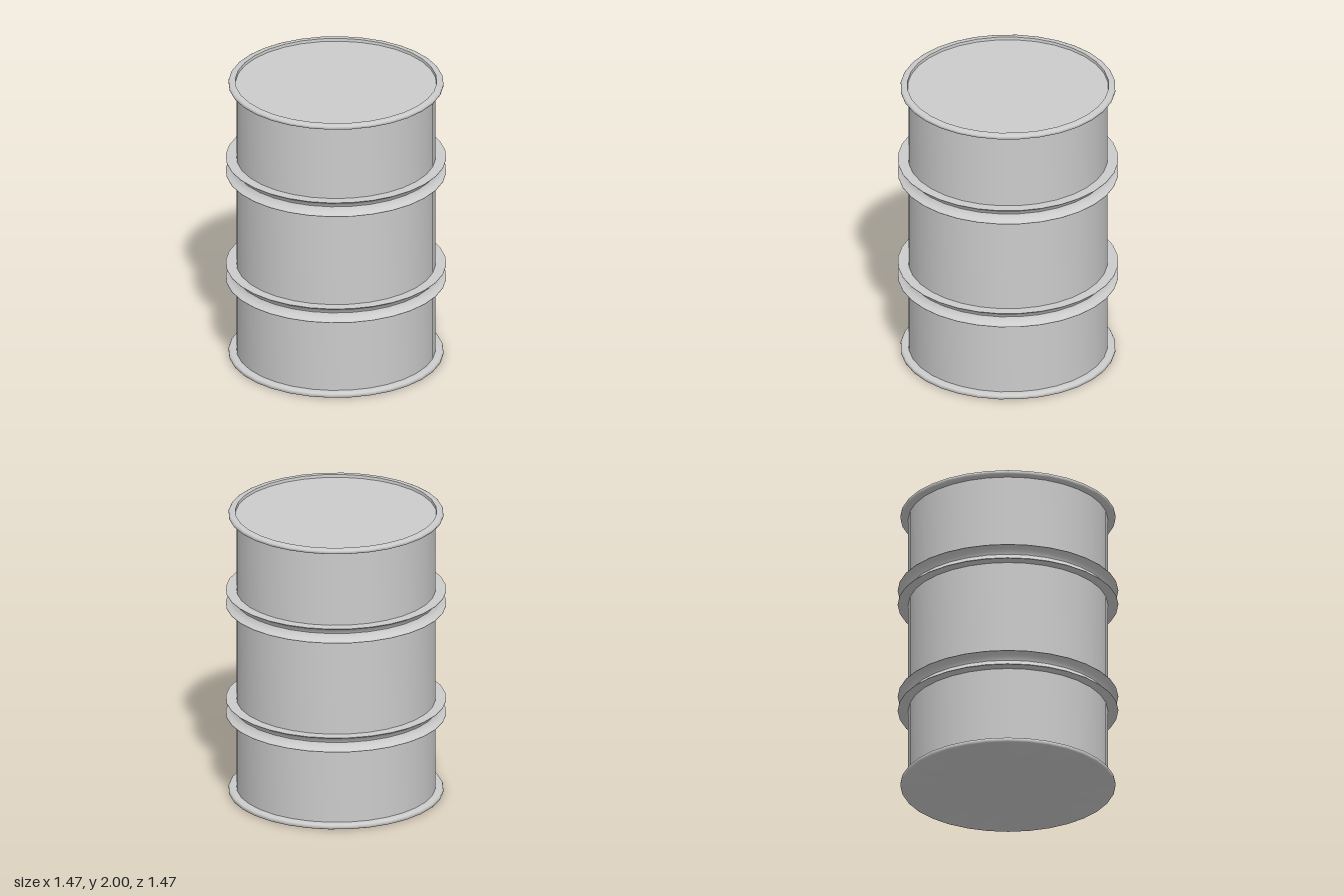
import * as THREE from 'three';
import { toCreasedNormals } from 'three/addons/utils/BufferGeometryUtils.js';

const SIDES = 32;
const BODY_R = 0.665;
const material = new THREE.MeshStandardMaterial({ color: 0xcccccc });

// Revolves a [radius, height] profile, listed bottom to top along the outside
function turned(name, profile, y = 0) {
  const points = profile.map(([r, h]) => new THREE.Vector2(r, h));
  const geometry = toCreasedNormals(new THREE.LatheGeometry(points, SIDES), 0.75);
  const mesh = new THREE.Mesh(geometry, material);
  mesh.name = name;
  mesh.position.y = y;
  return mesh;
}

export function createModel() {
  const group = new THREE.Group();
  group.name = 'barrel';

  // Straight drum wall
  group.add(turned('wall', [[BODY_R, 0.02], [BODY_R, 1.98]]));

  // Flat base with a rounded rim
  group.add(turned('base', [
    [0, 0], [0.705, 0], [0.713, 0.004], [0.717, 0.011],
    [0.717, 0.024], [0.713, 0.031], [0.705, 0.035], [BODY_R, 0.035],
  ]));

  // Rounded top rim around a slightly sunken lid
  group.add(turned('lid', [
    [BODY_R, 1.968], [0.705, 1.968], [0.713, 1.972], [0.717, 1.978],
    [0.717, 1.99], [0.713, 1.996], [0.705, 2], [0.672, 2],
    [0.67, 1.98], [0, 1.98],
  ]));

  // Two rolling hoops, each with a concave groove between sharp flanges
  const hoop = [
    [BODY_R, -0.052], [0.735, -0.052], [0.735, -0.049], [0.708, -0.034],
    [0.692, -0.019], [0.684, 0], [0.692, 0.019], [0.708, 0.034],
    [0.735, 0.049], [0.735, 0.052], [BODY_R, 0.052],
  ];
  group.add(turned('lowerHoop', hoop, 0.613));
  group.add(turned('upperHoop', hoop, 1.392));

  return group;
}
